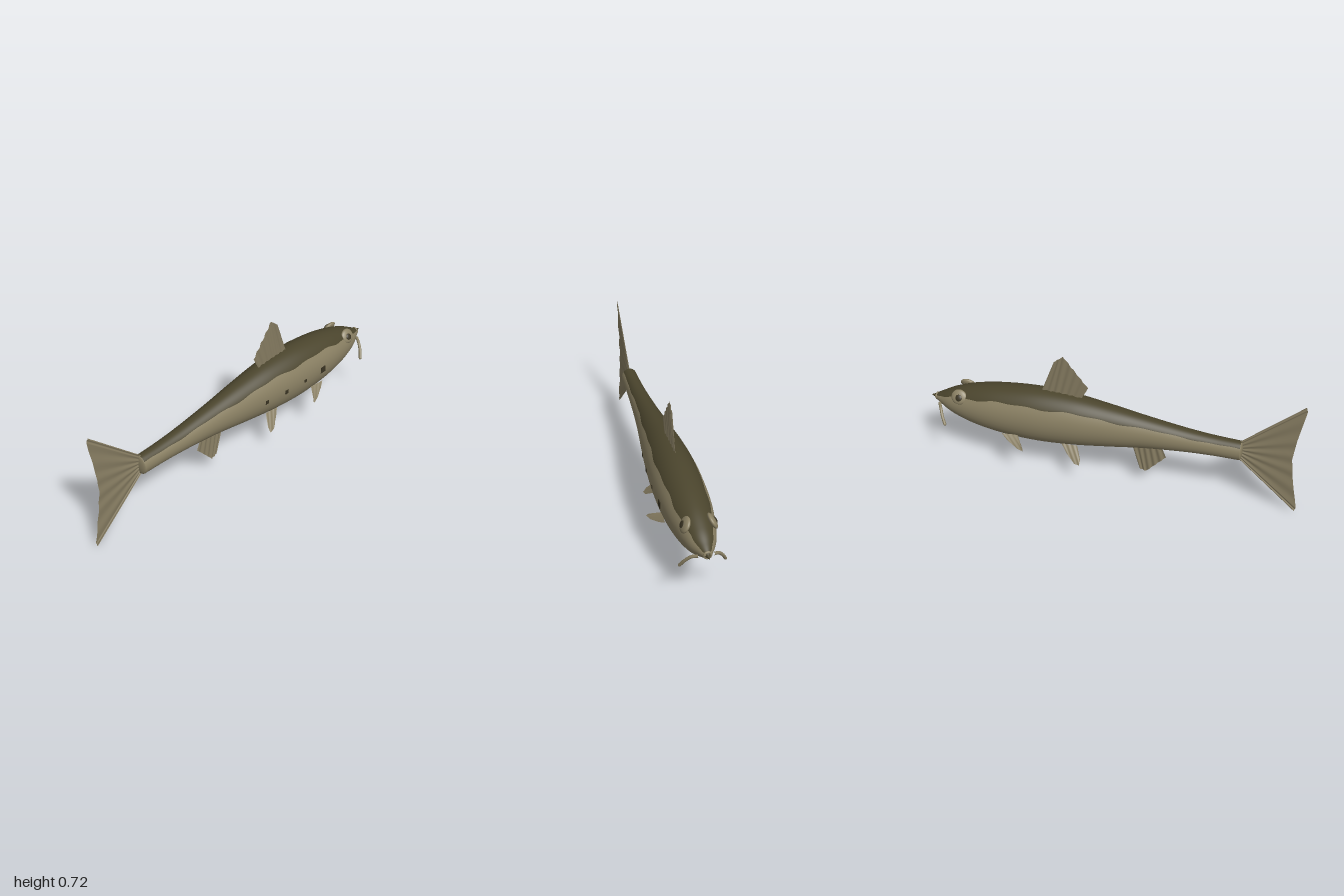
import * as THREE from 'three';

const mat = (name, color, side = THREE.FrontSide) => {
  const m = new THREE.MeshStandardMaterial({ color, side });
  m.name = name;
  return m;
};

export function createModel() {
  const fish = new THREE.Group();
  fish.name = 'fish';
  const back = mat('dark olive back', 0x4b452d);
  const flank = mat('tan flank', 0x8b8164);
  const finMat = mat('tan fin', 0x877d62, THREE.DoubleSide);
  const dark = mat('dark spot', 0x3a3423);

  const add = (name, geo, material, parent = fish) => {
    const m = new THREE.Mesh(geo, material);
    m.name = name;
    parent.add(m);
    return m;
  };

  // Body stations: x, top, bottom, half width
  const stations = [
    [-0.69, 0.388, 0.281, 0.043], [-0.55, 0.393, 0.28, 0.047], [-0.4, 0.406, 0.272, 0.055],
    [-0.2, 0.433, 0.252, 0.07], [0, 0.463, 0.222, 0.092], [0.2, 0.488, 0.195, 0.112],
    [0.4, 0.494, 0.183, 0.122], [0.6, 0.475, 0.194, 0.117], [0.75, 0.445, 0.22, 0.098],
    [0.86, 0.406, 0.257, 0.072], [0.93, 0.37, 0.294, 0.04], [0.975, 0.345, 0.322, 0.013],
  ];
  const V = (...p) => new THREE.Vector3(...p);
  const height = new THREE.CatmullRomCurve3(stations.map(s => V(s[0], s[1], s[2])), false, 'catmullrom');
  const width = new THREE.CatmullRomCurve3(stations.map(s => V(s[0], s[3], 0)), false, 'catmullrom');

  // Elliptical rings; the first half of each ring is the dark back
  const rings = 110, half = 24, sides = half * 2;
  const pos = [], backIdx = [], flankIdx = [];
  for (let i = 0; i <= rings; i++) {
    const t = i / rings, h = height.getPoint(t), w = width.getPoint(t).y;
    const edge = 0.69 + 0.035 * Math.sin(t * 33) + 0.025 * Math.sin(t * 71);
    for (let j = 0; j < sides; j++) {
      const a = j < half
        ? edge + (Math.PI - 2 * edge) * j / half
        : Math.PI - edge + (Math.PI + 2 * edge) * (j - half) / half;
      pos.push(h.x, (h.y + h.z) / 2 + Math.sin(a) * (h.y - h.z) / 2, Math.cos(a) * w);
      if (i === rings) continue;
      const n = (j + 1) % sides, p = i * sides + j, q = i * sides + n;
      (j < half ? backIdx : flankIdx).push(p, p + sides, q + sides, p, q + sides, q);
    }
  }
  const bodyGeo = new THREE.BufferGeometry();
  bodyGeo.setAttribute('position', new THREE.Float32BufferAttribute(pos, 3));
  bodyGeo.setIndex([...backIdx, ...flankIdx]);
  bodyGeo.addGroup(0, backIdx.length, 0);
  bodyGeo.addGroup(backIdx.length, flankIdx.length, 1);
  bodyGeo.computeVertexNormals();
  add('body', bodyGeo, [back, flank]);

  // Rounded end of the tail stem
  const stem = add('tailStem', new THREE.SphereGeometry(1, 24, 16), flank);
  stem.scale.set(0.012, 0.053, 0.043);
  stem.position.set(-0.688, 0.335, 0);

  // Pointed snout with a lip ring
  const snout = add('snout', new THREE.ConeGeometry(0.019, 0.045, 20), back);
  snout.rotation.z = -Math.PI / 2;
  snout.position.set(0.977, 0.334, 0);
  const lip = add('lip', new THREE.TorusGeometry(0.016, 0.006, 10, 24), flank);
  lip.rotation.y = Math.PI / 2;
  lip.position.set(0.965, 0.333, 0);

  // Point at fraction u of a polyline
  const along = (pts, u) => {
    const f = u * (pts.length - 1), k = Math.min(Math.floor(f), pts.length - 2);
    return V(...pts[k]).lerp(V(...pts[k + 1]), f - k);
  };

  // Fin sheet from a root line to a tip line, rippled by its rays
  const fin = (name, root, tip, rays, ripple, parent = fish) => {
    const nu = rays * 6, nv = 6, p = [], idx = [];
    for (let i = 0; i <= nu; i++) {
      const u = i / nu, a = along(root, u), b = along(tip, u);
      for (let j = 0; j <= nv; j++) {
        const q = a.clone().lerp(b, j / nv);
        p.push(q.x, q.y, q.z + ripple * Math.sin(u * rays * Math.PI * 2));
        if (i < nu && j < nv) {
          const s = i * (nv + 1) + j, r = s + nv + 1;
          idx.push(s, r, r + 1, s, r + 1, s + 1);
        }
      }
    }
    const g = new THREE.BufferGeometry();
    g.setAttribute('position', new THREE.Float32BufferAttribute(p, 3));
    g.setIndex(idx);
    g.computeVertexNormals();
    return add(name, g, finMat, parent);
  };

  // Fins on the centre line
  fin('tailFin',
    [[-0.68, 0.387, 0], [-0.69, 0.335, 0], [-0.68, 0.282, 0]],
    [[-0.99, 0.665, 0], [-0.998, 0.64, 0], [-0.965, 0.46, 0], [-0.95, 0.335, 0],
      [-0.965, 0.21, 0], [-0.998, 0.03, 0], [-0.99, 0.005, 0]], 8, 0.002);
  fin('dorsalFin',
    [[0.16, 0.465, 0], [0.37, 0.48, 0]],
    [[0.115, 0.552, 0], [0.18, 0.635, 0], [0.245, 0.72, 0], [0.295, 0.68, 0]], 6, 0.003);
  fin('analFin',
    [[-0.28, 0.26, 0], [-0.12, 0.25, 0]],
    [[-0.305, 0.2, 0], [-0.25, 0.14, 0], [-0.2, 0.085, 0], [-0.165, 0.097, 0]], 5, 0.003);

  // Paired parts, mirrored across the centre line
  for (const s of [1, -1]) {
    const side = s > 0 ? 'near' : 'far';
    const m = pts => pts.map(([x, y, z]) => [x, y, z * s]);
    fin(side + 'PectoralFin',
      m([[0.48, 0.24, 0.09], [0.565, 0.24, 0.1]]),
      m([[0.435, 0.208, 0.148], [0.425, 0.193, 0.161], [0.465, 0.197, 0.15], [0.53, 0.22, 0.12]]), 3, 0.001);
    fin(side + 'PelvicFin',
      m([[0.165, 0.205, 0.045], [0.25, 0.205, 0.05]]),
      m([[0.135, 0.15, 0.09], [0.135, 0.126, 0.11], [0.165, 0.13, 0.105], [0.215, 0.168, 0.075]]), 3, 0.001);

    // Whisker beside the mouth
    const path = new THREE.CatmullRomCurve3(
      m([[0.94, 0.315, 0.035], [0.922, 0.302, 0.064], [0.905, 0.272, 0.09], [0.886, 0.235, 0.109]]).map(q => V(...q)));
    add(side + 'Whisker', new THREE.TubeGeometry(path, 20, 0.008, 10), flank);
    const end = add(side + 'WhiskerTip', new THREE.SphereGeometry(0.008, 10, 8), flank);
    end.position.set(0.886, 0.235, 0.109 * s);

    // Eye: flattened disc facing up and out, with a pupil
    const eye = new THREE.Group();
    eye.name = side + 'Eye';
    eye.position.set(0.808, 0.4, 0.065 * s);
    eye.rotation.x = -0.5 * s;
    fish.add(eye);
    add('eyeball', new THREE.SphereGeometry(1, 28, 18), flank, eye).scale.set(0.043, 0.04, 0.016);
    const pupil = add('pupil', new THREE.SphereGeometry(1, 20, 14), dark, eye);
    pupil.scale.set(0.018, 0.018, 0.006);
    pupil.position.set(-0.003, -0.004, 0.014 * s);
  }

  // Small spots along the near flank: x, size, depth
  for (const [x, size, z] of [[0.11, 0.02, 0.103], [0.25, 0.022, 0.1155], [0.395, 0.016, 0.1215], [0.54, 0.035, 0.1195]]) {
    const spot = add('flankSpot', new THREE.BoxGeometry(size, size, 0.006), dark);
    spot.position.set(x, 0.335, z);
  }
  return fish;
}
